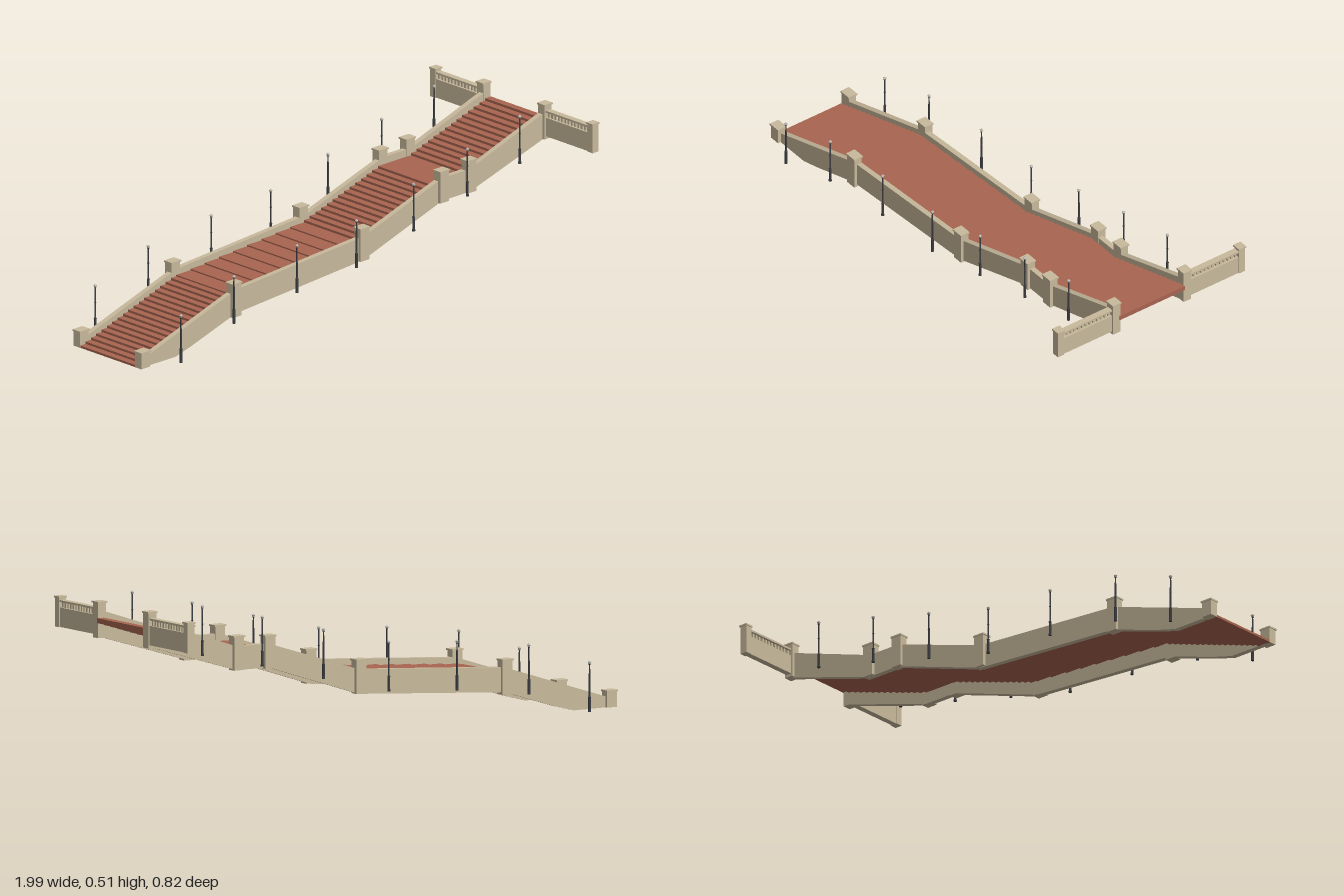
import * as THREE from 'three';

const stone = new THREE.MeshStandardMaterial({ color: 0xc8b99c });
stone.name = 'beige stone';
const brick = new THREE.MeshStandardMaterial({ color: 0xa86450 });
brick.name = 'red brick';
const iron = new THREE.MeshStandardMaterial({ color: 0x3a3d42, flatShading: true });
iron.name = 'dark iron';
const glass = new THREE.MeshStandardMaterial({ color: 0xb9b8b2, flatShading: true });
glass.name = 'lamp glass';

function add(parent, name, geo, mat, x = 0, y = 0, z = 0) {
  const mesh = new THREE.Mesh(geo, mat);
  mesh.name = name;
  mesh.position.set(x, y, z);
  parent.add(mesh);
  return mesh;
}

// Box given by its minimum and maximum corners
function block(parent, name, mat, x0, x1, y0, y1, z0, z1) {
  return add(parent, name, new THREE.BoxGeometry(x1 - x0, y1 - y0, z1 - z0), mat,
    (x0 + x1) / 2, (y0 + y1) / 2, (z0 + z1) / 2);
}

// Square post with a slightly wider cap
function pillar(parent, name, x, z, y0, y1, w, d) {
  const g = new THREE.Group();
  g.name = name;
  block(g, 'post', stone, x - w / 2, x + w / 2, y0, y1 - 0.006, z - d / 2, z + d / 2);
  block(g, 'cap', stone, x - w / 2 - 0.003, x + w / 2 + 0.003, y1 - 0.006, y1, z - d / 2 - 0.003, z + d / 2 + 0.003);
  parent.add(g);
}

// A run of equal steps rising toward +x
function flight(parent, name, x0, x1, y0, y1, count) {
  const g = new THREE.Group();
  g.name = name;
  const run = (x1 - x0) / count, rise = (y1 - y0) / count;
  for (let i = 0; i < count; i++) {
    const top = y0 + rise * (i + 1);
    block(g, 'step', brick, x0 + run * i, x0 + run * (i + 1),
      Math.max(0, top - Math.max(rise * 2, 0.012)), top, -0.142, 0.142);
  }
  parent.add(g);
}

// Street lamp: turned base and pole with a small pointed lantern
function lamp(parent, x, y, z) {
  const g = new THREE.Group();
  g.name = 'lamp';
  const profile = [[0, 0], [0.0055, 0], [0.0055, 0.006], [0.0048, 0.008], [0.0048, 0.05],
    [0.0055, 0.053], [0.003, 0.056], [0.003, 0.11], [0.0042, 0.112], [0.003, 0.114],
    [0.0024, 0.165], [0.0045, 0.168], [0, 0.168]].map(p => new THREE.Vector2(...p));
  add(g, 'lampPole', new THREE.LatheGeometry(profile, 8), iron);
  add(g, 'lantern', new THREE.CylinderGeometry(0.0065, 0.0035, 0.007, 8), glass, 0, 0.1715, 0);
  add(g, 'lanternRoof', new THREE.ConeGeometry(0.0065, 0.006, 8), glass, 0, 0.178, 0);
  g.position.set(x, y, z);
  parent.add(g);
}

export function createModel() {
  const model = new THREE.Group();
  model.name = 'stairway';

  // Steps and landing
  flight(model, 'lowerFlight', -0.995, -0.53, 0, 0.15, 18);
  flight(model, 'longTreads', -0.53, 0.09, 0.15, 0.195, 9);
  flight(model, 'middleFlight', 0.09, 0.475, 0.195, 0.315, 14);
  block(model, 'landing', brick, 0.475, 0.607, 0.3, 0.315, -0.142, 0.142);
  flight(model, 'upperFlight', 0.607, 0.995, 0.315, 0.437, 14);

  // Side wall outline: lower edge, then upper edge back
  const outline = [[-0.97, 0], [-0.82, 0], [-0.745, 0.02], [-0.527, 0.088], [0.09, 0.132],
    [0.475, 0.257], [0.607, 0.257], [0.975, 0.368],
    [0.975, 0.463], [0.607, 0.341], [0.475, 0.341], [0.09, 0.219], [-0.527, 0.176], [-0.97, 0.034]];
  const wallGeo = new THREE.ExtrudeGeometry(
    new THREE.Shape(outline.map(p => new THREE.Vector2(...p))), { depth: 0.02, bevelEnabled: false });

  // Pillars: x, bottom, top
  const pillars = [[-0.975, 0, 0.061], [-0.532, 0.08, 0.206], [0.088, 0.134, 0.256],
    [0.474, 0.254, 0.372], [0.606, 0.258, 0.38], [0.975, 0.366, 0.495]];
  // Lamps: x, base height
  const lamps = [[-0.848, 0], [-0.591, 0.082], [-0.286, 0.12], [0.003, 0.141],
    [0.28, 0.207], [0.54, 0.272], [0.794, 0.33]];

  for (const s of [1, -1]) {
    const side = new THREE.Group();
    side.name = s > 0 ? 'frontSide' : 'backSide';
    add(side, 'sideWall', wallGeo, stone, 0, 0, s > 0 ? 0.139 : -0.159);
    pillars.forEach(([x, a, b], i) =>
      pillar(side, 'pillar', x, s * 0.1545, a, b, i === 5 ? 0.034 : 0.042, 0.032));
    for (const [x, y] of lamps) lamp(side, x, y, s * 0.216);

    // Wing parapet with balusters at the top of the stairs
    const wing = new THREE.Group();
    wing.name = 'wing';
    const span = (name, x0, x1, y0, y1) => {
      const z = [s * 0.168, s * 0.385].sort((a, b) => a - b);
      block(wing, name, stone, x0, x1, y0, y1, z[0], z[1]);
    };
    span('wingWall', 0.964, 0.986, 0.377, 0.446);
    span('wingRail', 0.963, 0.987, 0.465, 0.472);
    for (let i = 0; i < 13; i++) {
      const z = s * (0.178 + i * 0.0165);
      block(wing, 'baluster', stone, 0.971, 0.979, 0.446, 0.465, z - 0.004, z + 0.004);
    }
    pillar(wing, 'wingPillar', 0.975, s * 0.396, 0.376, 0.485, 0.028, 0.026);
    side.add(wing);
    model.add(side);
  }
  return model;
}
